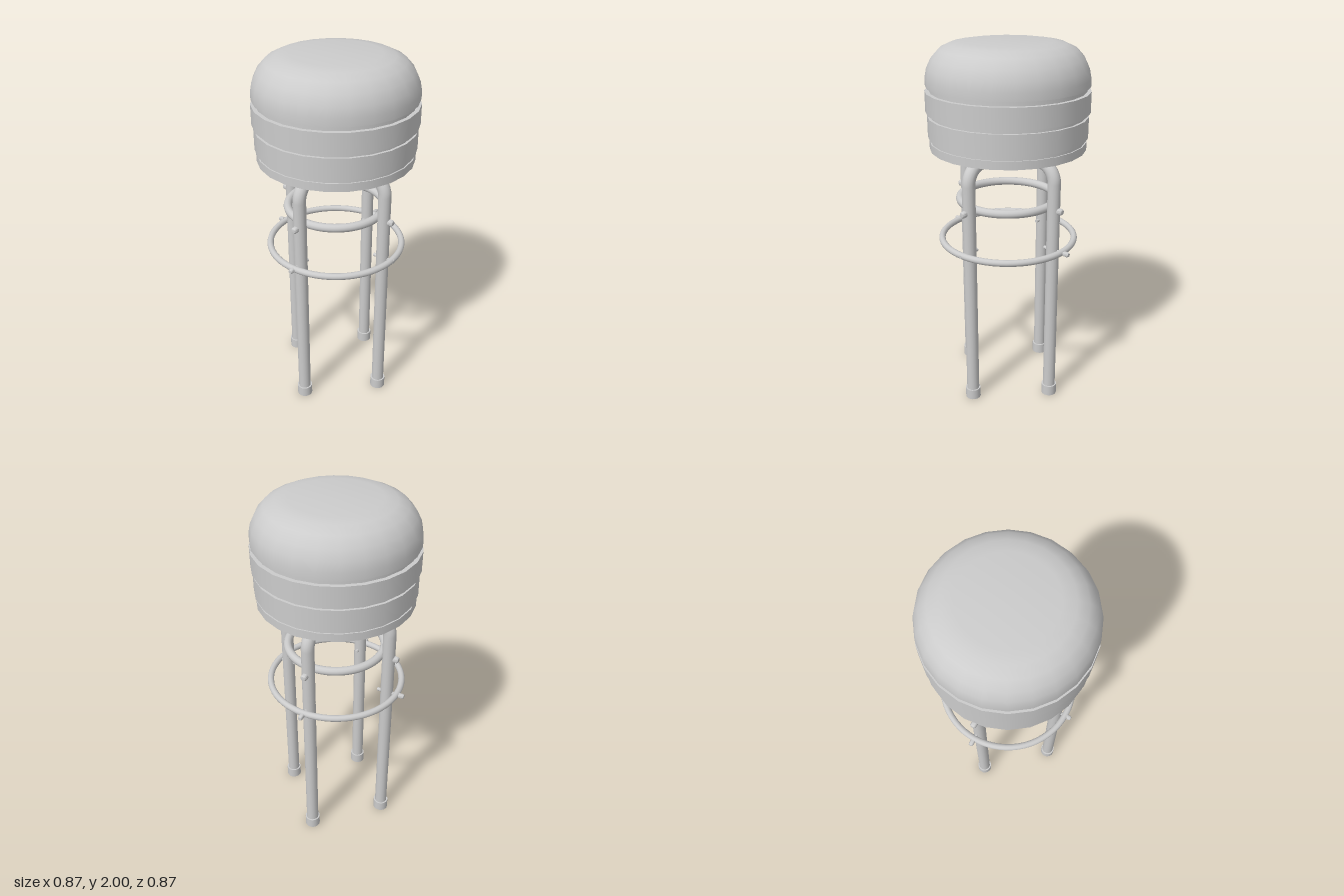
import * as THREE from 'three';
import { toCreasedNormals } from 'three/addons/utils/BufferGeometryUtils.js';

const material = new THREE.MeshStandardMaterial({ color: 0xcccccc });
const SIDES = 24;
const LEG_X = 0.315;

function add(parent, name, geometry, x = 0, y = 0, z = 0) {
  const mesh = new THREE.Mesh(geometry, material);
  mesh.name = name;
  mesh.position.set(x, y, z);
  parent.add(mesh);
  return mesh;
}

// Lathe with smooth curves and sharp corners
function turned(profile, sides) {
  const points = profile.map(([r, y]) => new THREE.Vector2(r, y));
  return toCreasedNormals(new THREE.LatheGeometry(points, sides), 0.75);
}

// Upright cylinder between two heights
function band(parent, name, radius, y0, y1) {
  add(parent, name, new THREE.CylinderGeometry(radius, radius, y1 - y0, SIDES), 0, (y0 + y1) / 2, 0);
}

// Inverted U of bent tube: two legs joined under the seat
function legPairCurve() {
  const top = 1.403, bend = 0.1, k = bend * 0.4477;
  const v = (x, y) => new THREE.Vector3(x, y, 0);
  const path = new THREE.CurvePath();
  const corner = (s) => [
    v(s * LEG_X, top - bend), v(s * LEG_X, top - k),
    v(s * (LEG_X - k), top), v(s * (LEG_X - bend), top),
  ];
  const left = corner(1), right = corner(-1).reverse();
  path.add(new THREE.LineCurve3(v(LEG_X, 0.02), left[0]));
  path.add(new THREE.CubicBezierCurve3(...left));
  path.add(new THREE.LineCurve3(left[3], right[0]));
  path.add(new THREE.CubicBezierCurve3(...right));
  path.add(new THREE.LineCurve3(right[3], v(-LEG_X, 0.02)));
  return path;
}

function ring(parent, name, radius, tube, y) {
  add(parent, name, new THREE.TorusGeometry(radius, tube, 12, 64), 0, y, 0).rotation.x = Math.PI / 2;
}

// Bolt pointing outward along +x, with a rounded head
function bolt(parent, name, tip, y, r) {
  const start = 0.26, head = tip - 0.032;
  const geometry = turned([
    [0, start], [r * 0.7, start], [r * 0.7, head], [r, head],
    [r, tip - 0.01], [r * 0.7, tip - 0.002], [0, tip],
  ], 12);
  add(parent, name, geometry, 0, y, 0).rotation.z = -Math.PI / 2;
}

export function createModel() {
  const model = new THREE.Group();
  model.name = 'barStool';

  // Padded seat: domed cushion over a grooved drum
  const seat = new THREE.Group();
  seat.name = 'seat';
  model.add(seat);
  add(seat, 'cushion', turned([
    [0, 1.78], [0.431, 1.78], [0.431, 1.82], [0.421, 1.87], [0.396, 1.92],
    [0.355, 1.965], [0.3, 1.99], [0.235, 2], [0, 2],
  ], SIDES));
  band(seat, 'drumCore', 0.413, 1.46, 1.79);
  band(seat, 'upperBand', 0.435, 1.645, 1.755);
  band(seat, 'lowerBand', 0.427, 1.51, 1.624);
  band(seat, 'seatBase', 0.42, 1.446, 1.49);

  // Two crossed leg frames
  const frame = legPairCurve();
  for (let i = 0; i < 2; i++) {
    const legs = add(model, 'legPair', new THREE.TubeGeometry(frame, 160, 0.035, 16, false));
    legs.rotation.y = i * Math.PI / 2;
  }

  // Foot cap and bolts on each leg: +x, -z, -x, +z
  const lowerTips = [0.425, 0.42, 0.412, 0.392];
  lowerTips.forEach((tip, i) => {
    const side = new THREE.Group();
    side.name = 'legFittings';
    side.rotation.y = i * Math.PI / 2;
    model.add(side);
    add(side, 'footCap', new THREE.CylinderGeometry(0.043, 0.043, 0.06, 20), LEG_X, 0.03, 0);
    bolt(side, 'upperBolt', 0.375, 1.156, 0.018);
    bolt(side, 'lowerBolt', tip, 0.924, 0.014);
  });

  // Brace ring inside the legs and foot ring outside them
  ring(model, 'braceRing', 0.266, 0.023, 1.156);
  ring(model, 'footRing', 0.372, 0.018, 0.924);

  return model;
}
